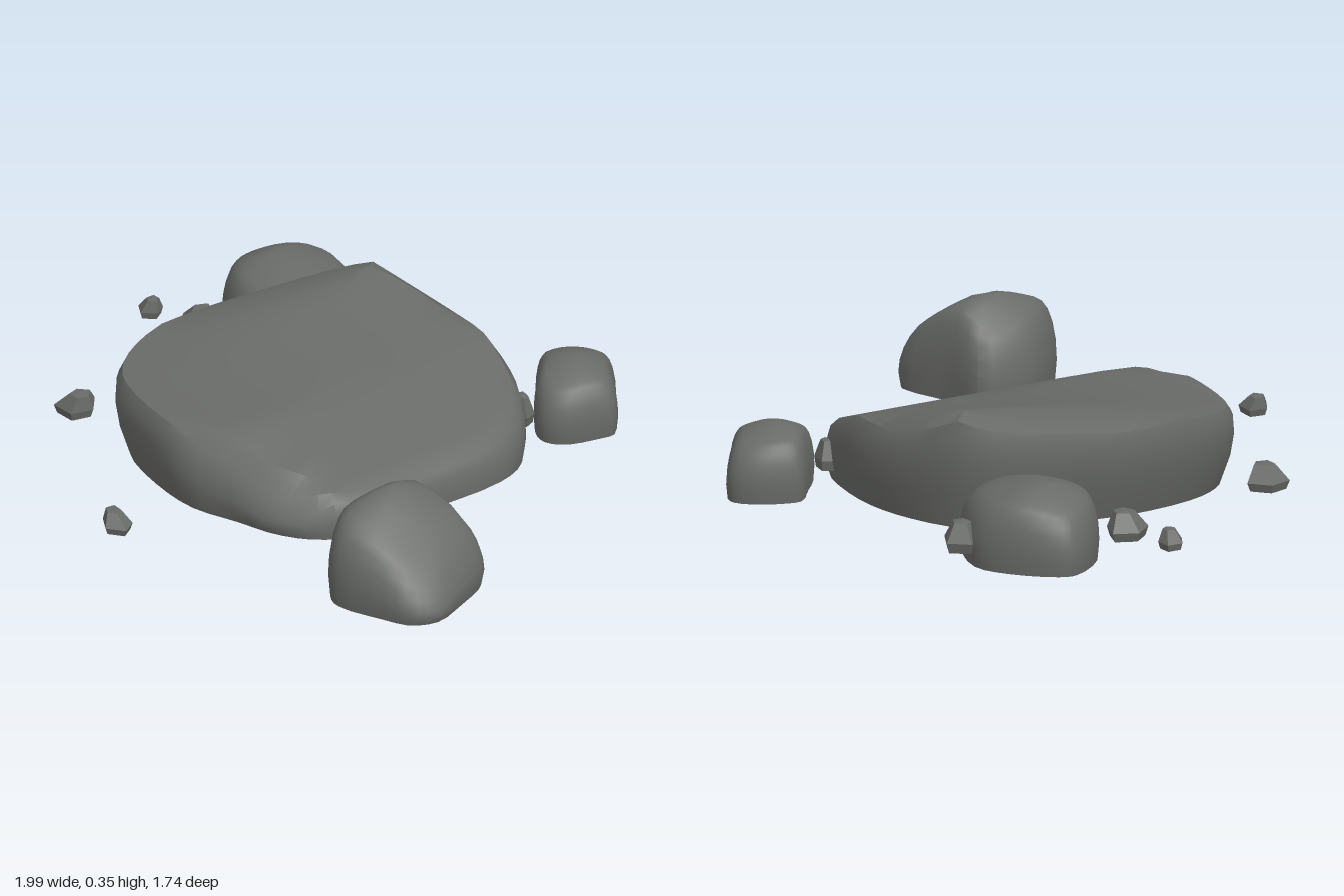
import * as THREE from 'three';
import { toCreasedNormals } from 'three/addons/utils/BufferGeometryUtils.js';

const stone = new THREE.MeshStandardMaterial({ color: 0x686a67 });
stone.name = 'dark stone';

// Lofts scaled copies of an outline into a closed solid.
// outline: [x, z] points, rings: [scale, height fraction, x shift], heightAt(x, z): top surface
function loft(name, outline, [cx, cz], rings, heightAt, baseY, crease) {
  const n = outline.length, pos = [], index = [];
  let topX = cx;
  for (const [s, f, shift = 0] of rings) {
    topX = cx + shift;
    for (const [px, pz] of outline) {
      const x = topX + (px - cx) * s, z = cz + (pz - cz) * s;
      pos.push(x, baseY + f * heightAt(x, z), z);
    }
  }
  const bottom = pos.length / 3, top = bottom + 1;
  pos.push(cx, baseY, cz, topX, baseY + heightAt(topX, cz), cz);
  const last = (rings.length - 1) * n;
  for (let j = 0; j < n; j++) {
    const k = (j + 1) % n;
    index.push(bottom, k, j, top, last + j, last + k);
    for (let r = 0; r < last; r += n) {
      index.push(r + j, r + k, r + n + k, r + j, r + n + k, r + n + j);
    }
  }
  const geometry = new THREE.BufferGeometry();
  geometry.setAttribute('position', new THREE.Float32BufferAttribute(pos, 3));
  geometry.setIndex(index);
  const mesh = new THREE.Mesh(toCreasedNormals(geometry, crease), stone);
  mesh.name = name;
  return mesh;
}

// Rounds a few outline points into a closed curve
function smooth(points, count) {
  const curve = new THREE.CatmullRomCurve3(
    points.map(([x, z]) => new THREE.Vector3(x, 0, z)), true, 'centripetal');
  return curve.getPoints(count).slice(0, count).map(p => [p.x, p.z]);
}

// Dome falling away from a peak with its own slope to each side
function dome([px, py, pz], [left, right, front, back]) {
  const round = 0.045;
  return (x, z) => {
    const dx = (x - px) * (x > px ? left : right);
    const dz = (z - pz) * (z > pz ? front : back);
    return Math.max(0.05, py + round - Math.hypot(dx, dz, round));
  };
}

const TOP = [[0.68, 1], [0.52, 1], [0.36, 1], [0.18, 1]];
const BOULDER_WALL = [[0.97, 0], [1, 0.3], [0.985, 0.54], [0.94, 0.75], [0.87, 0.9], [0.78, 0.98]];
const SLAB_WALL = [[0.958, 0, 0.028], [0.99, 0.35, 0.01], [0.998, 0.65, -0.003],
  [0.985, 0.89, -0.01], [0.95, 1, -0.018], [0.85, 1, -0.01]];

// Main slab: high at the back right, twisting down towards the left
function slabHeight(x, z) {
  const t = THREE.MathUtils.clamp((z + 0.4) / 0.85, 0, 1);
  const slope = x < 0.05 ? THREE.MathUtils.lerp(0.27, 0.01, t) : 0.37;
  return Math.max(0.07, Math.min(
    0.245 + (0.05 - x) * slope,
    0.355 + 0.4 * (x + 0.35),
    0.355 + 0.85 * (z + 0.41),
    0.355 - 0.127 * (z + 0.4),
    0.245 - 0.75 * (x - 0.12) - 1.0 * (z - 0.37)));
}

export function createModel() {
  const group = new THREE.Group();
  group.name = 'rockCluster';

  const slab = smooth([
    [-0.565, 0.06], [-0.54, 0.3], [-0.48, 0.43], [-0.4, 0.5], [-0.2, 0.545], [-0.02, 0.545],
    [0.13, 0.49], [0.27, 0.44], [0.37, 0.36], [0.425, 0.24], [0.42, 0], [0.41, -0.3],
    [0.36, -0.42], [0.24, -0.51], [0.1, -0.545], [-0.08, -0.555], [-0.25, -0.52],
    [-0.42, -0.43], [-0.49, -0.3], [-0.53, -0.13]], 56);
  group.add(loft('mainSlab', slab, [-0.1, -0.02], [...SLAB_WALL, ...TOP], slabHeight, 0, 0.6));

  // Three boulders around the slab: peak, slopes to each side, outline
  const boulders = [
    ['leftBoulder', [0.69, 0.31, 0.3], [0.9, 1.15, 0.45, 0.55],
      [[0.535, 0.34], [0.58, 0.43], [0.68, 0.53], [0.74, 0.545], [0.88, 0.49], [0.97, 0.44],
        [1, 0.36], [0.96, 0.25], [0.9, 0.13], [0.86, 0.1], [0.68, 0.16], [0.55, 0.2]]],
    ['rightBoulder', [-0.76, 0.24, -0.36], [0.34, 0.75, 0.5, 0.5],
      [[-0.945, -0.35], [-0.85, -0.22], [-0.72, -0.165], [-0.6, -0.165], [-0.5, -0.23],
        [-0.47, -0.37], [-0.5, -0.48], [-0.57, -0.53], [-0.73, -0.57], [-0.84, -0.51], [-0.935, -0.4]]],
    ['backBoulder', [0.22, 0.21, -0.7], [0.6, 0.6, 0.6, 0.6],
      [[0.07, -0.69], [0.15, -0.62], [0.24, -0.55], [0.3, -0.54], [0.35, -0.58], [0.38, -0.68],
        [0.385, -0.74], [0.29, -0.81], [0.2, -0.87], [0.16, -0.87], [0.11, -0.82], [0.075, -0.74]]],
  ];
  for (const [name, peak, slopes, points] of boulders) {
    group.add(loft(name, smooth(points, 32), [peak[0], peak[2]],
      [...BOULDER_WALL, ...TOP], dome(peak, slopes), 0, 0.7));
  }

  // Small faceted pebbles: x, z, half width, half depth, height, turn, lean of the top
  const pebbles = [
    [0.035, 0.82, 0.057, 0.047, 0.06, 0.2, -0.02],
    [-0.61, 0.49, 0.066, 0.064, 0.075, 0.9, 0.02],
    [-0.805, -0.1, 0.068, 0.066, 0.08, 0.5, 0.02],
    [-0.96, -0.04, 0.042, 0.042, 0.06, 0.1, 0.012],
    [0.21, -0.525, 0.052, 0.037, 0.09, 0.4, 0],
    [-0.66, -0.575, 0.07, 0.058, 0.09, 0.7, 0],
  ];
  const wobble = [1, 0.9, 1.08, 0.92, 1.03];
  pebbles.forEach(([x, z, w, d, h, turn, lean], i) => {
    const outline = wobble.map((r, j) => {
      const a = turn - j * Math.PI * 2 / wobble.length;
      return [x + w * r * Math.cos(a), z + d * r * Math.sin(a)];
    });
    const rings = [[0.85, 0], [1, 0.35], [0.5, 0.95, lean]];
    group.add(loft('pebble' + (i + 1), outline, [x, z], rings, () => h, 0.04, 0.2));
  });

  return group;
}
